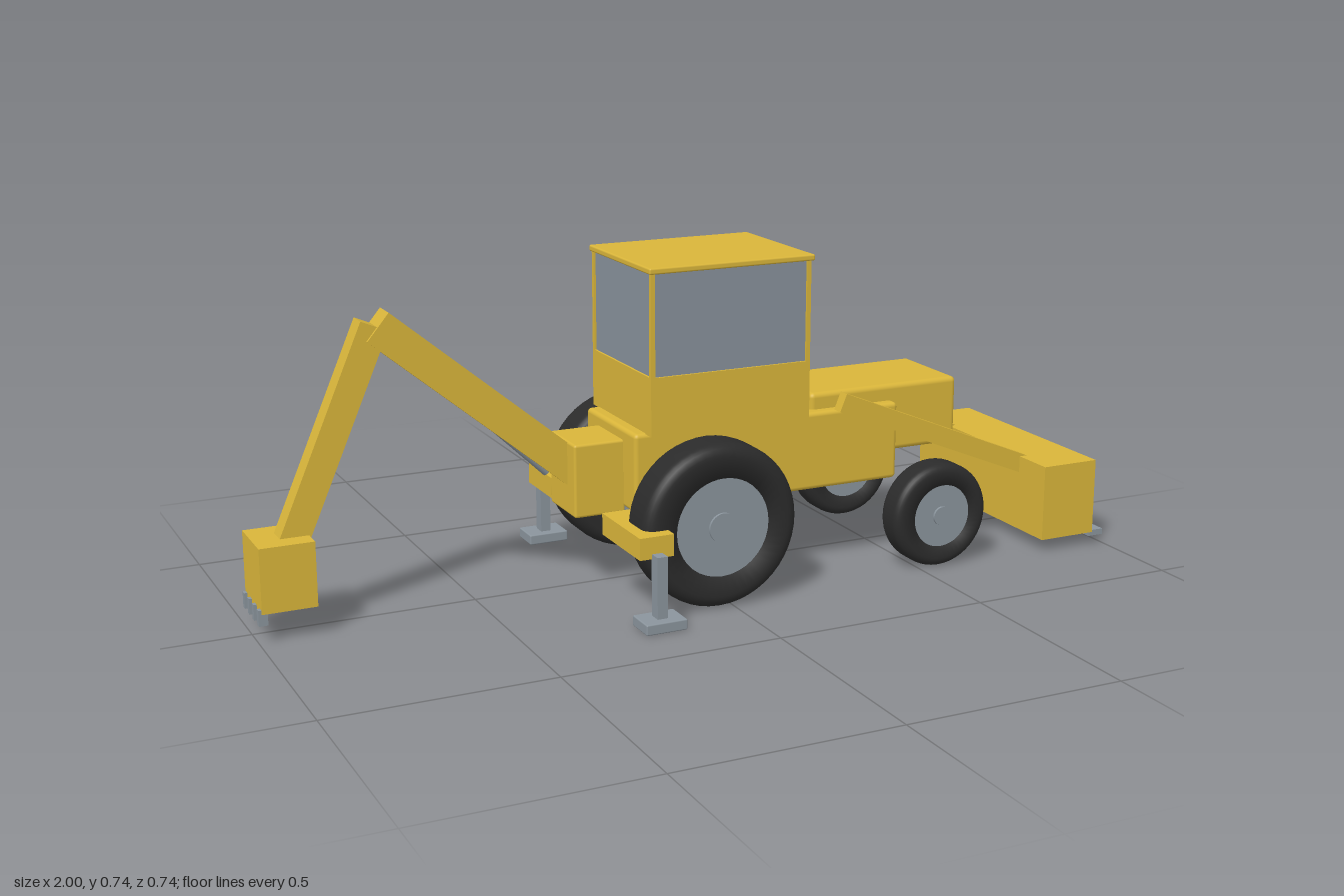
import * as THREE from 'three';
import { RoundedBoxGeometry } from 'three/addons/geometries/RoundedBoxGeometry.js';

const material = (name, color) => new THREE.MeshStandardMaterial({ name, color });

export function createModel() {
  const yellow = material('yellow paint', 0xd9b53a);
  const steel = material('grey steel', 0x8a949c);
  const glass = material('window glass', 0x87919b);
  const rubber = material('black rubber', 0x2b2b2b);

  const model = new THREE.Group();
  model.name = 'diggerTractor';

  const add = (name, geometry, mat, parent = model) => {
    const mesh = new THREE.Mesh(geometry, mat);
    mesh.name = name;
    parent.add(mesh);
    return mesh;
  };

  // Box given by its limits on each axis, with optional rounded edges
  const box = (name, mat, [x0, x1], [y0, y1], [z0, z1], radius = 0) => {
    const size = [x1 - x0, y1 - y0, z1 - z0];
    const geometry = radius
      ? new RoundedBoxGeometry(...size, 3, radius)
      : new THREE.BoxGeometry(...size);
    const mesh = add(name, geometry, mat);
    mesh.position.set((x0 + x1) / 2, (y0 + y1) / 2, (z0 + z1) / 2);
  };

  // Slanted beam between two points of the side plane
  const beam = (name, [ax, ay], [bx, by], height, depth, z = 0) => {
    const length = Math.hypot(bx - ax, by - ay);
    const mesh = add(name, new THREE.BoxGeometry(length, height, depth), yellow);
    mesh.position.set((ax + bx) / 2, (ay + by) / 2, z);
    mesh.rotation.z = Math.atan2(by - ay, bx - ax);
  };

  // Body
  box('chassis', yellow, [-0.17, 0.5], [0.19, 0.372], [-0.135, 0.135], 0.01);
  box('hood', yellow, [0.282, 0.675], [0.25, 0.41], [-0.11, 0.11], 0.012);

  // Cab: lower panel, glazing, corner posts and roof
  box('cabBase', yellow, [-0.142, 0.25], [0.37, 0.502], [-0.16, 0.16]);
  box('cabWindows', glass, [-0.137, 0.245], [0.5, 0.732], [-0.155, 0.155]);
  for (const x of [-0.142, 0.24])
    for (const z of [-0.16, 0.15])
      box('cabPost', yellow, [x, x + 0.01], [0.5, 0.732], [z, z + 0.01]);
  box('cabRoof', yellow, [-0.147, 0.257], [0.73, 0.744], [-0.165, 0.165], 0.004);

  // Wheels: tyre ring turned about the axle, slightly sunk hub and centre cap
  const tyreGeometry = (outer, inner, width, r) => {
    const h = width / 2;
    const profile = [new THREE.Vector2(inner, -h)];
    for (let i = 0; i <= 6; i++) {
      const a = (i / 6) * Math.PI / 2;
      profile.push(new THREE.Vector2(outer - r + r * Math.sin(a), -h + r - r * Math.cos(a)));
    }
    for (let i = 0; i <= 6; i++) {
      const a = (i / 6) * Math.PI / 2;
      profile.push(new THREE.Vector2(outer - r + r * Math.cos(a), h - r + r * Math.sin(a)));
    }
    profile.push(new THREE.Vector2(inner, h), new THREE.Vector2(inner, -h));
    return new THREE.LatheGeometry(profile, 48).rotateX(Math.PI / 2);
  };
  const wheel = (name, x, z, radius, hubRadius, width, round) => {
    const group = new THREE.Group();
    group.name = name;
    group.position.set(x, radius, z);
    model.add(group);
    const disc = (r, w) => new THREE.CylinderGeometry(r, r, w, 36).rotateX(Math.PI / 2);
    add('tyre', tyreGeometry(radius, hubRadius, width, round), rubber, group);
    add('hub', disc(hubRadius, width - 0.008), steel, group);
    add('hubCap', disc(hubRadius * 0.3, width + 0.004), steel, group);
  };
  for (const side of [-1, 1]) {
    wheel('rearWheel', -0.03, side * 0.235, 0.186, 0.112, 0.11, 0.028);
    wheel('frontWheel', 0.553, side * 0.218, 0.123, 0.074, 0.076, 0.02);
  }

  // Front loader: two lift arms, bucket and cutting edge
  for (const side of [-1, 1])
    beam('loaderArm', [0.335, 0.396], [0.845, 0.186], 0.044, 0.028, side * 0.154);
  box('loaderBucket', yellow, [0.825, 0.97], [0.03, 0.21], [-0.272, 0.272]);
  box('loaderCuttingEdge', steel, [0.96, 1], [0.021, 0.035], [-0.272, 0.272]);

  // Rear digger: swing base, boom, stick, bucket and teeth
  box('diggerBase', yellow, [-0.287, -0.165], [0.178, 0.346], [-0.071, 0.071], 0.006);
  beam('diggerBoom', [-0.24, 0.256], [-0.708, 0.643], 0.076, 0.06);
  beam('diggerStick', [-0.714, 0.645], [-0.91, 0.19], 0.064, 0.048);
  box('diggerBucket', yellow, [-0.993, -0.873], [0.066, 0.21], [-0.07, 0.07]);
  for (const z of [-0.06, -0.02, 0.02, 0.06])
    box('diggerTooth', steel, [-1, -0.98], [0.04, 0.075], [z - 0.007, z + 0.007]);

  // Hydraulic ram beside the boom
  const ram = add('boomRam', new THREE.CylinderGeometry(0.012, 0.012, 0.36, 20), steel);
  ram.position.set(-0.435, 0.385, -0.046);
  ram.rotation.z = Math.atan2(0.26, 0.25);

  // Stabilisers on both sides
  for (const side of [-1, 1]) {
    const span = (a, b) => (side > 0 ? [a, b] : [-b, -a]);
    box('stabiliserArm', yellow, [-0.243, -0.163], [0.151, 0.2], span(0.12, 0.32));
    box('stabiliserLeg', steel, [-0.215, -0.191], [0.02, 0.162], span(0.318, 0.348));
    box('stabiliserFoot', steel, [-0.251, -0.155], [0, 0.024], span(0.298, 0.371), 0.003);
  }

  return model;
}
